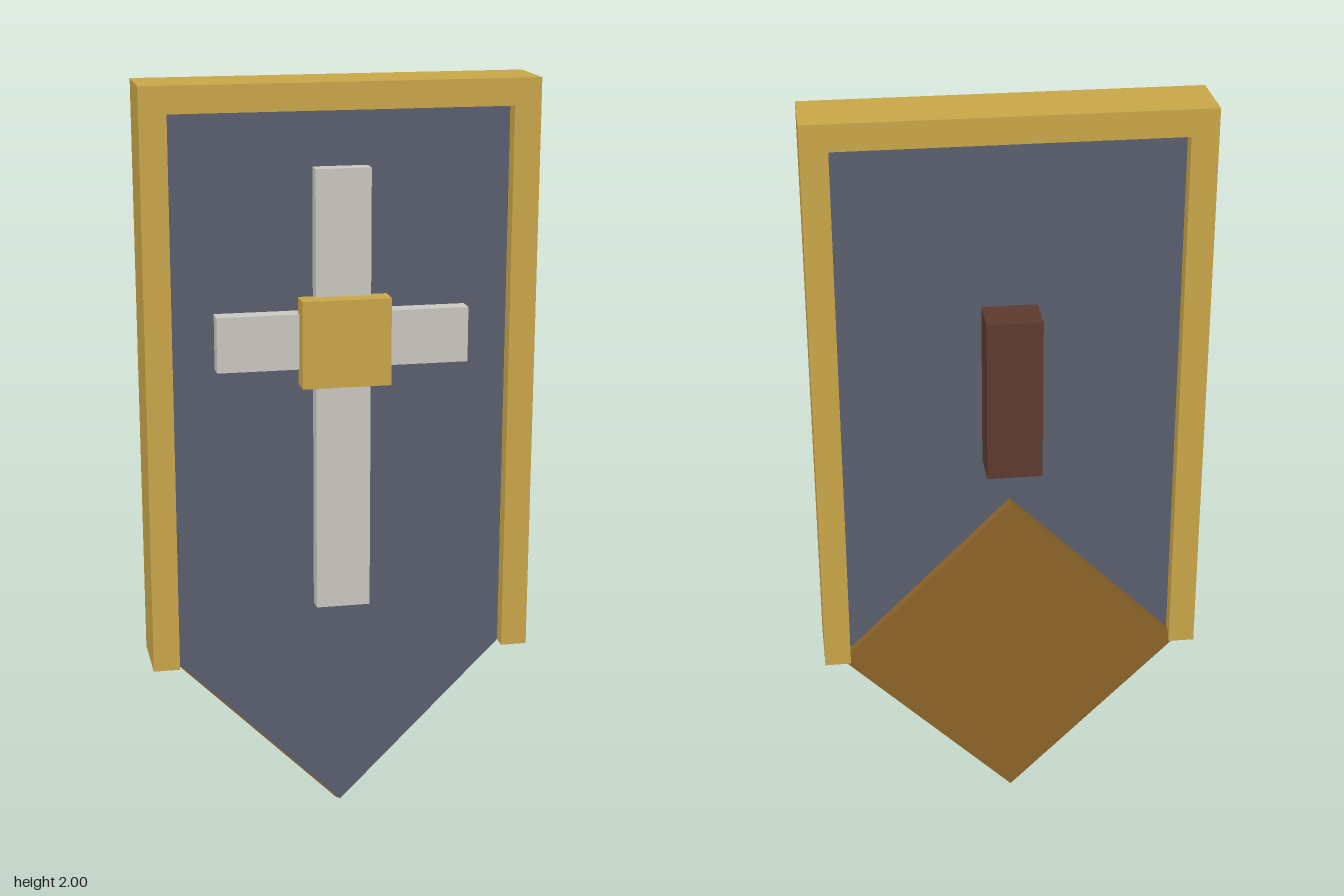
import * as THREE from 'three';

const material = (name, color) => {
  const m = new THREE.MeshStandardMaterial({ color });
  m.name = name;
  return m;
};

// Box given by its lower and upper limits on each axis
function block(name, mat, [x0, x1], [y0, y1], [z0, z1]) {
  const mesh = new THREE.Mesh(new THREE.BoxGeometry(x1 - x0, y1 - y0, z1 - z0), mat);
  mesh.position.set((x0 + x1) / 2, (y0 + y1) / 2, (z0 + z1) / 2);
  mesh.name = name;
  return mesh;
}

// Square slab standing on one corner
function diamond(name, mat, halfDiagonal, centreY, [z0, z1]) {
  const side = halfDiagonal * Math.SQRT2;
  const mesh = new THREE.Mesh(new THREE.BoxGeometry(side, side, z1 - z0), mat);
  mesh.position.set(0, centreY, (z0 + z1) / 2);
  mesh.rotation.z = Math.PI / 4;
  mesh.name = name;
  return mesh;
}

export function createModel() {
  const gold = material('gold', 0xc9a648);
  const slate = material('slate', 0x5a5f6e);
  const silver = material('pale silver', 0xc9c7c0);
  const bronze = material('bronze', 0x8b6429);
  const leather = material('dark leather', 0x5c3a2e);

  const shield = new THREE.Group();
  shield.name = 'shield';

  // Main panel with its pointed lower end
  shield.add(block('panel', slate, [-0.45, 0.45], [0.46, 1.94], [-0.04, 0.06]));
  const tip = new THREE.Shape([
    new THREE.Vector2(-0.443, 0.46),
    new THREE.Vector2(0, 0.017),
    new THREE.Vector2(0.443, 0.46),
  ]);
  const point = new THREE.Mesh(new THREE.ExtrudeGeometry(tip, { depth: 0.04, bevelEnabled: false }), slate);
  point.position.z = 0.02;
  point.name = 'panelPoint';
  shield.add(point);

  // Backing behind the point
  shield.add(diamond('pointBacking', bronze, 0.463, 0.463, [-0.07, 0.02]));

  // Rim, open at the bottom
  const rim = new THREE.Shape([
    [-0.513, 0.46], [-0.443, 0.46], [-0.443, 1.93], [0.443, 1.93],
    [0.443, 0.46], [0.513, 0.46], [0.513, 2], [-0.513, 2],
  ].map(([x, y]) => new THREE.Vector2(x, y)));
  const rimMesh = new THREE.Mesh(new THREE.ExtrudeGeometry(rim, { depth: 0.184, bevelEnabled: false }), gold);
  rimMesh.position.z = -0.082;
  rimMesh.name = 'rim';
  shield.add(rimMesh);

  // Cross and central boss
  shield.add(block('crossUpright', silver, [-0.072, 0.072], [0.61, 1.785], [0.05, 0.105]));
  shield.add(block('crossArm', silver, [-0.33, 0.33], [1.27, 1.415], [0.05, 0.108]));
  shield.add(block('boss', gold, [-0.116, 0.116], [1.228, 1.457], [0.09, 0.152]));

  // Grip on the back
  shield.add(block('grip', leather, [-0.072, 0.072], [1.05, 1.487], [-0.153, -0.03]));

  return shield;
}
